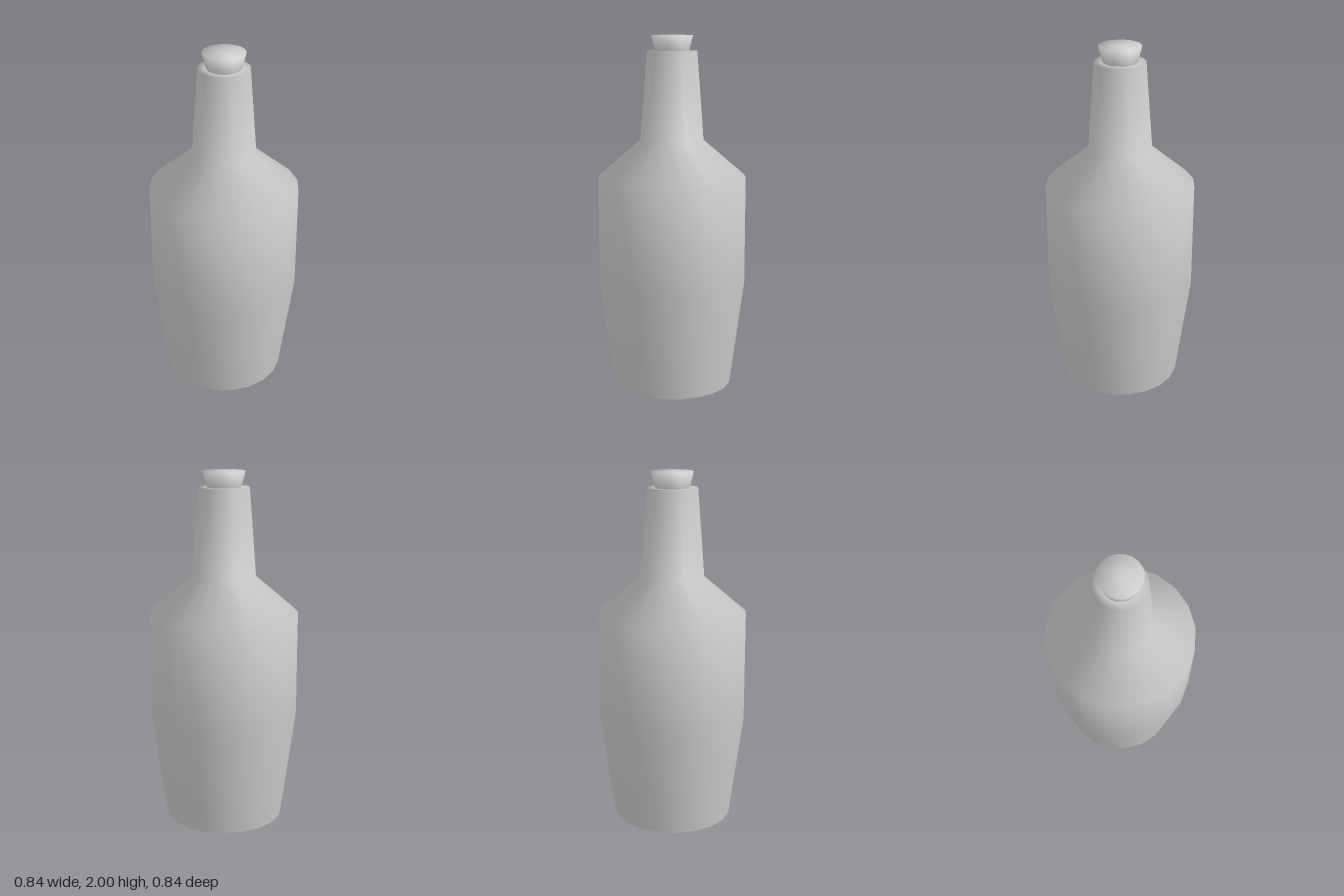
import * as THREE from 'three';

const SIDES = 20;

// Revolve a [radius, height] profile, listed from bottom to top
function turned(name, profile, material) {
  const points = profile.map(([r, y]) => new THREE.Vector2(r, y));
  const mesh = new THREE.Mesh(new THREE.LatheGeometry(points, SIDES), material);
  mesh.name = name;
  return mesh;
}

export function createModel() {
  const group = new THREE.Group();
  group.name = 'bottle';
  const material = new THREE.MeshStandardMaterial({ color: 0xcccccc });

  // Flat underside, kept separate for a sharp bottom edge
  group.add(turned('base', [[0, 0], [0.34, 0]], material));

  // Tapered body, sloping shoulder, neck and lip
  group.add(turned('bottleBody', [
    [0.34, 0], [0.42, 0.605], [0.42, 1.21], [0.18, 1.415],
    [0.142, 1.913], [0.09, 1.913],
  ], material));

  // Flared stopper with a softly shaded top
  group.add(turned('stopper', [
    [0.093, 1.9], [0.118, 2], [0, 2],
  ], material));

  return group;
}
